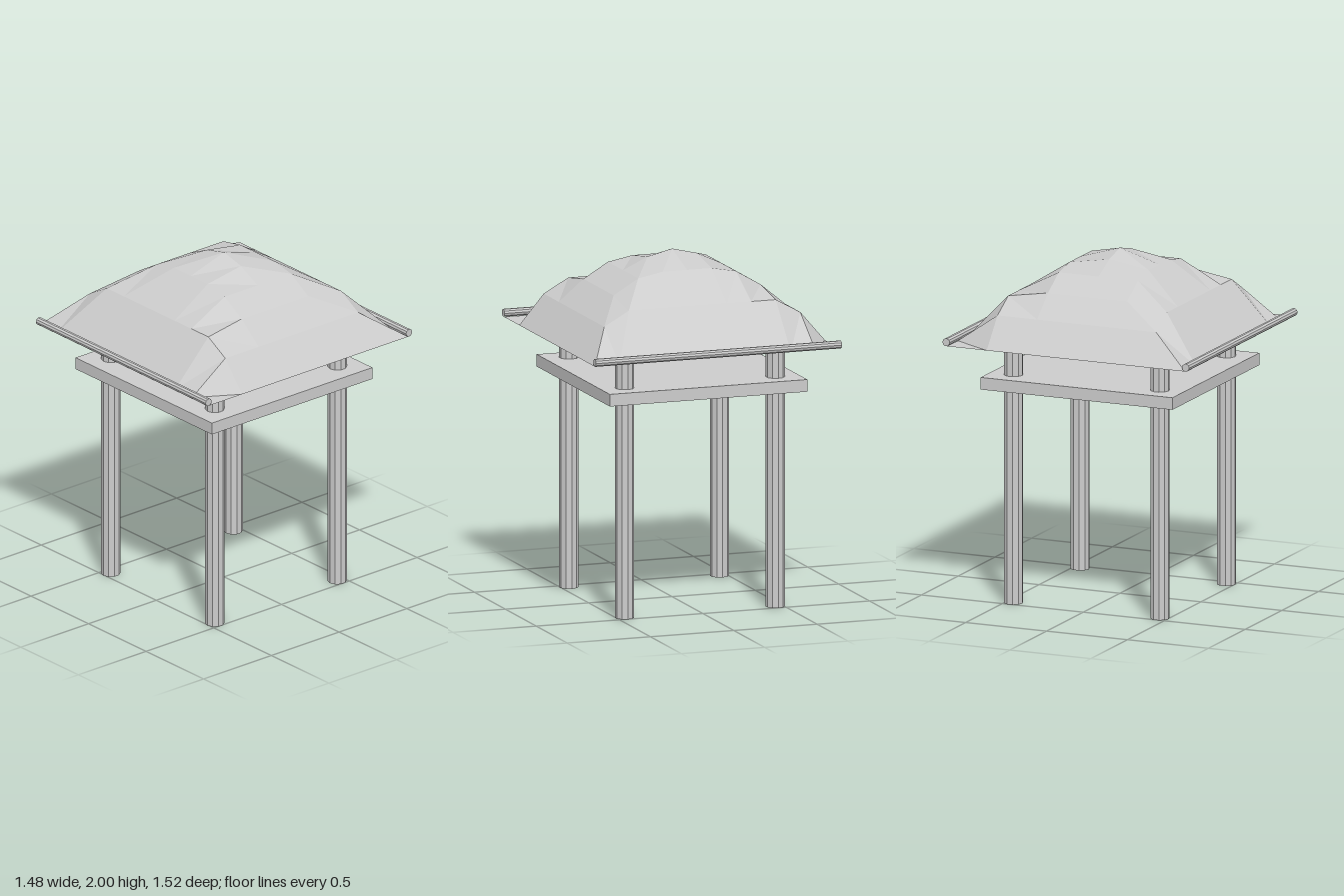
import * as THREE from 'three';

export function createModel() {
  const model = new THREE.Group();
  const grey = new THREE.MeshStandardMaterial({ color: 0xcccccc, flatShading: true, side: THREE.DoubleSide });
  grey.name = 'light grey';

  const add = (name, geometry, x, y, z) => {
    const mesh = new THREE.Mesh(geometry, grey);
    mesh.name = name;
    mesh.position.set(x, y, z);
    model.add(mesh);
    return mesh;
  };

  // Four posts, ending just under the canopy
  const post = new THREE.CylinderGeometry(0.054, 0.054, 1.57, 10);
  for (const x of [-0.452, 0.452])
    for (const z of [-0.452, 0.452]) add('post', post, x, 0.785, z);

  // Platform slab
  add('platform', new THREE.BoxGeometry(1.185, 0.07, 1.185), 0, 1.285, 0);

  // Domed cloth canopy: height depends on the distance from the centre in square rings
  const profile = [[0, 2], [0.147, 1.965], [0.245, 1.925], [0.294, 1.897],
    [0.441, 1.81], [0.49, 1.77], [0.588, 1.688], [0.735, 1.517]];
  const heightAt = (d) => {
    let i = 1;
    while (i < profile.length - 1 && d > profile[i][0]) i++;
    const [d0, h0] = profile[i - 1], [d1, h1] = profile[i];
    return THREE.MathUtils.lerp(h0, h1, Math.min(1, (d - d0) / (d1 - d0)));
  };
  const cloth = new THREE.PlaneGeometry(1.47, 1.47, 10, 6).rotateX(-Math.PI / 2);
  const p = cloth.attributes.position;
  for (let i = 0; i < p.count; i++)
    p.setY(i, heightAt(Math.max(Math.abs(p.getX(i)), Math.abs(p.getZ(i)))));
  cloth.computeVertexNormals();
  add('canopy', cloth, 0, 0, 0);

  // Rods along the front and back hems
  const rod = new THREE.CylinderGeometry(0.0225, 0.0225, 1.475, 10).rotateZ(Math.PI / 2);
  for (const z of [-0.74, 0.74]) add('hemRod', rod, 0, 1.54, z);

  return model;
}
